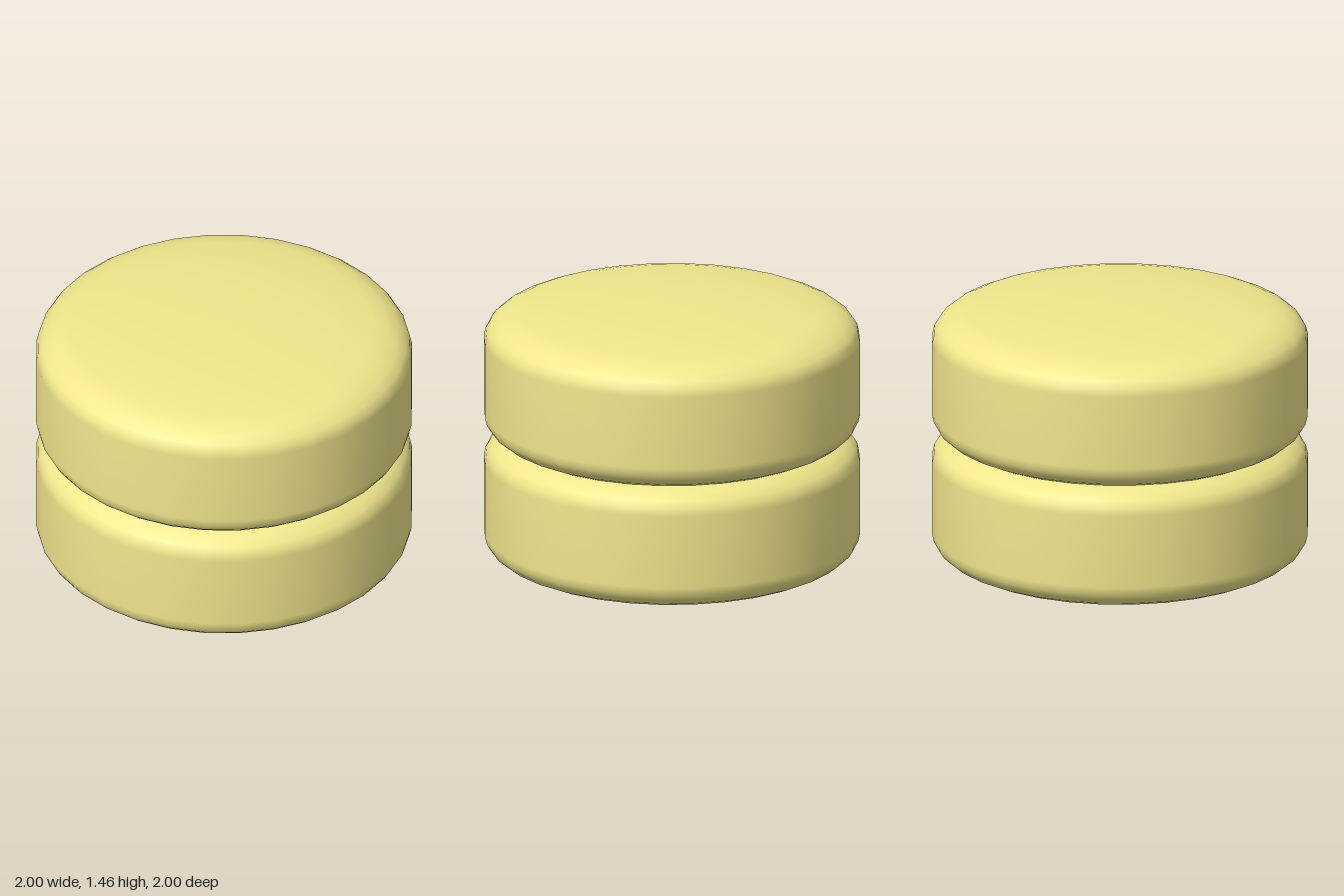
import * as THREE from 'three';

// Upper half of one disc's rounded profile: [radius, height above its middle]
const HALF = [
  [0, 0.395], [0.3, 0.392], [0.6, 0.376], [0.8, 0.351], [0.87, 0.335],
  [0.93, 0.308], [0.97, 0.275], [0.99, 0.243], [1, 0.2],
];

export function createModel() {
  const group = new THREE.Group();
  group.name = 'stackedDiscs';
  const material = new THREE.MeshStandardMaterial({ color: 0xf0e68c });

  // Mirror the half profile, running from the bottom centre to the top centre
  const profile = [
    ...HALF.map(([r, y]) => new THREE.Vector2(r, -y)),
    ...HALF.slice().reverse().map(([r, y]) => new THREE.Vector2(r, y)),
  ];
  const geometry = new THREE.LatheGeometry(profile, 32);

  // Two equal cushions whose domed faces press into each other
  for (const [name, y] of [['lowerDisc', 0.395], ['upperDisc', 1.06]]) {
    const disc = new THREE.Mesh(geometry, material);
    disc.name = name;
    disc.position.y = y;
    group.add(disc);
  }
  return group;
}
